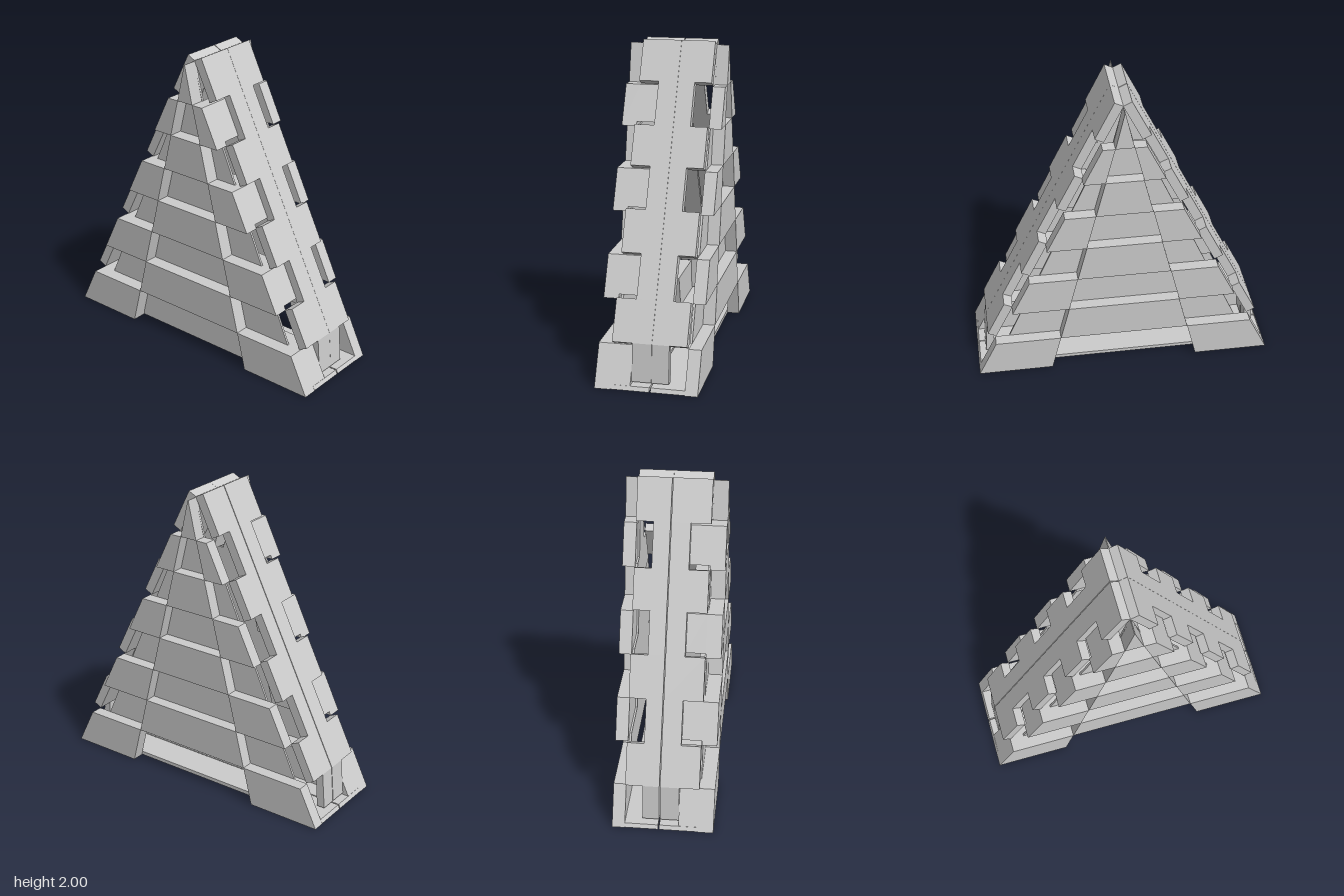
import * as THREE from 'three';

const mat = new THREE.MeshStandardMaterial({ color: 0xcccccc, flatShading: true, side: THREE.DoubleSide });

// Levels of the interlocking courses
const levels = [0.005, 0.255, 0.5, 0.745, 0.99, 1.235, 1.48, 1.725, 1.97];
// Sloped guide lines, z as a function of height
const skin = y => 1.047 - 0.497 * y;            // outside of the sloped panels
const edge = y => 0.982 - 0.49 * y;             // inside of the sloped panels
const post = y => Math.max(0.002, 0.49 - 0.25 * y); // edge of the central trapezoid
const inset = y => 0.765 - 0.448 * (y - 0.25);  // end of the set-back courses

export function createModel() {
  const group = new THREE.Group();

  // Prism with a (z, y) outline, running from x0 to x1
  function prism(name, x0, x1, outline) {
    const shape = new THREE.Shape(outline.map(([z, y]) => new THREE.Vector2(z, y)));
    const geo = new THREE.ExtrudeGeometry(shape, { depth: x1 - x0, bevelEnabled: false });
    geo.rotateY(-Math.PI / 2);
    geo.translate(x1, 0, 0);
    const mesh = new THREE.Mesh(geo, mat);
    mesh.name = name;
    group.add(mesh);
  }

  // Course between two slanted lines, optionally on the back
  function course(name, x0, x1, y0, y1, from, to, s = 1) {
    prism(name, x0, x1, [[s * from(y0), y0], [s * to(y0), y0], [s * to(y1), y1], [s * from(y1), y1]]);
  }

  // Sloped front and back panels: alternating wide and narrow courses, split by a fine seam
  const cuts = [0.285, 0.525, 0.775, 1.02, 1.265, 1.5, 1.755, 2];
  for (const s of [1, -1]) {
    const name = s > 0 ? 'frontPanel' : 'backPanel';
    const [seam0, seam1] = s > 0 ? [0.022, 0.023] : [0.02, 0.025];
    for (let i = 0; i < cuts.length - 1; i++) {
      const [a, b] = [cuts[i], cuts[i + 1]];
      const outline = [[skin(a), a], [skin(b), b], [skin(b) - 0.055, b - 0.027], [skin(a) - 0.055, a - 0.027]]
        .map(([z, y]) => [s * z, y]);
      const wide = i % 2 === 0;
      prism(name, wide ? -0.225 : -0.1, seam0, outline);
      prism(name, seam1, wide ? 0.238 : 0.13, outline);
    }
    // Upright tongue under the lowest wide course
    const tongue = [[0.905, 0.285], [0.86, 0.26], [0.87, 0.045], [0.925, 0.045]].map(([z, y]) => [s * z, y]);
    prism(name + 'Tongue', -0.1, seam0, tongue);
    prism(name + 'Tongue', seam1, 0.13, tongue);
  }

  // Side walls woven from projecting and set-back courses
  for (const side of [1, -1]) {
    const name = side > 0 ? 'leftWall' : 'rightWall';
    const [o0, o1] = side > 0 ? [0.238, 0.318] : [-0.32, -0.225];
    const [n0, n1] = side > 0 ? [0.226, 0.24] : [-0.228, -0.214];
    // thin set-back sheet behind the boards
    course(name + 'Sheet', n0, n1, side > 0 ? 0.255 : 0.03, 1.965, y => -post(y), post);
    for (let i = 0; i < 8; i++) {
      const [a, b] = [levels[i], levels[i + 1]];
      if (i % 2) {
        // outer board across the middle, set-back ends
        course(name + 'MiddleBoard', o0, o1, a, b, y => -post(y), post);
        if (i < 7) for (const s of [1, -1]) course(name + 'SetBackEnd', n0, n1, a, b, post, inset, s);
      } else {
        // outer corner blocks reaching the sloped edge, thickened inward on the right wall
        for (const s of [1, -1]) {
          course(name + 'CornerBlock', o0, o1, a, b, post, edge, s);
          if (side < 0) course('innerCornerBlock', -0.225, -0.1, a + 0.025, b, post, edge, s);
        }
      }
    }
  }

  // Floor in two halves with a narrow slit
  const floor = [[-0.98, 0.008], [0.98, 0.008], [0.967, 0.033], [-0.967, 0.033]];
  prism('floorRight', -0.225, 0.02, floor);
  prism('floorLeft', 0.028, 0.238, floor);

  return group;
}
